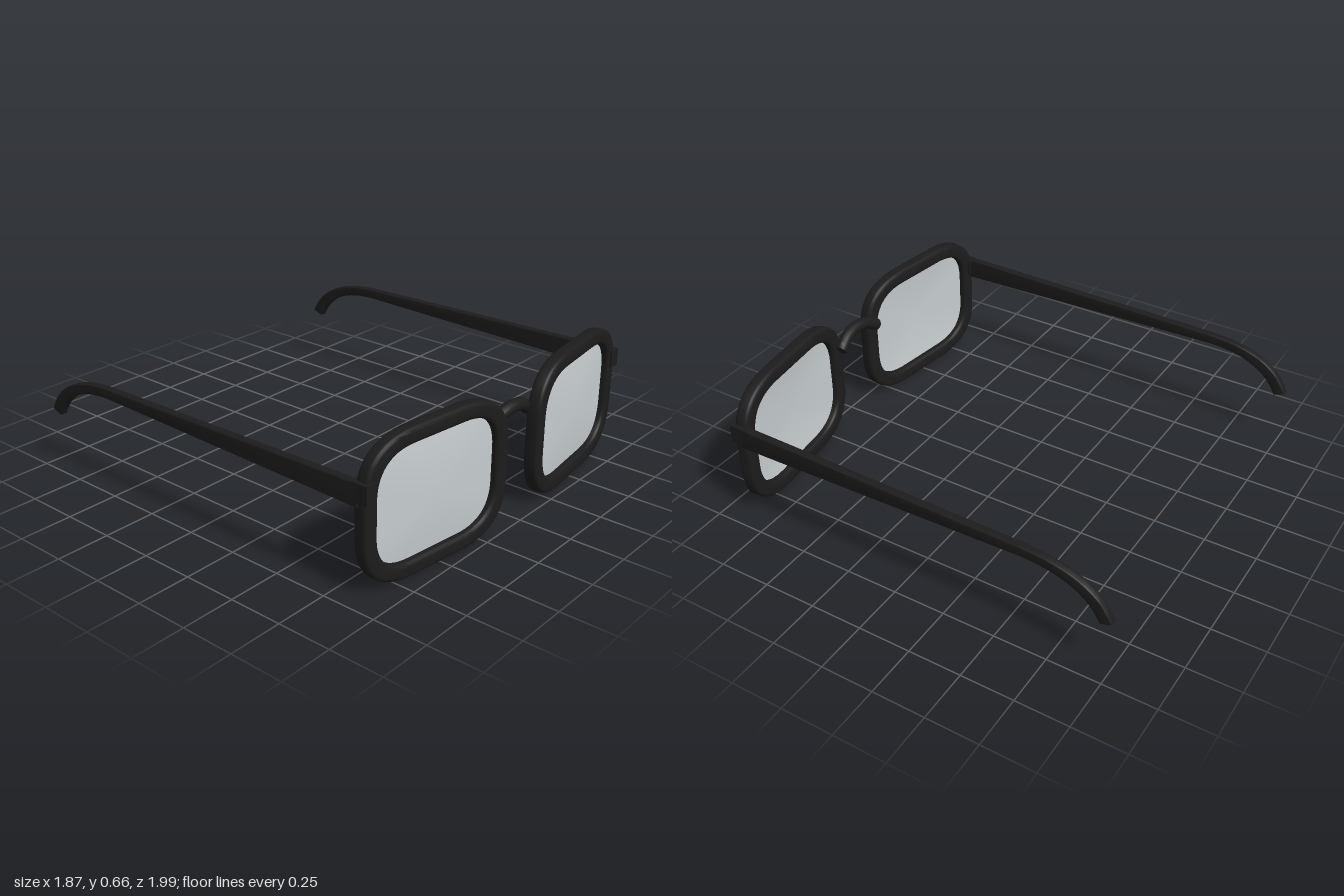
import * as THREE from 'three';
import { toCreasedNormals } from 'three/addons/utils/BufferGeometryUtils.js';

const black = new THREE.MeshStandardMaterial({ color: 0x1c1c1c });
const glass = new THREE.MeshStandardMaterial({ color: 0xc6cccf, side: THREE.DoubleSide });

function part(name, geometry, material = black) {
  const mesh = new THREE.Mesh(geometry, material);
  mesh.name = name;
  return mesh;
}

// Soft rectangle with half sizes w, h and corner reach rx, ry
function softRect(w, h, rx, ry, Type = THREE.Shape) {
  const s = new Type();
  s.moveTo(w, h - ry);
  s.quadraticCurveTo(w, h, w - rx, h);
  s.lineTo(-w + rx, h);
  s.quadraticCurveTo(-w, h, -w, h - ry);
  s.lineTo(-w, -h + ry);
  s.quadraticCurveTo(-w, -h, -w + rx, -h);
  s.lineTo(w - rx, -h);
  s.quadraticCurveTo(w, -h, w, -h + ry);
  s.closePath();
  return s;
}

// Extrusion centred on its depth, with rounded edges
function slab(shape, depth, bevel, curveSegments = 14) {
  const g = new THREE.ExtrudeGeometry(shape, {
    depth: depth - 2 * bevel, curveSegments,
    bevelThickness: bevel, bevelSize: bevel, bevelOffset: -bevel, bevelSegments: 3,
  });
  g.translate(0, 0, -depth / 2 + bevel);
  return toCreasedNormals(g, 0.6);
}

// Shallow dome lens: shrinking copies of the opening's outline
function lensGeometry(w, h, rx, ry, bulge) {
  const outline = softRect(w, h, rx, ry).getPoints(12);
  const n = outline.length, rings = 8, pos = [], index = [];
  for (let r = 0; r <= rings; r++) {
    const k = 1 - r / rings;
    for (const p of outline) pos.push(p.x * k, p.y * k, bulge * (1 - k * k));
  }
  for (let r = 0; r < rings; r++) {
    for (let i = 0; i < n; i++) {
      const j = (i + 1) % n, a = r * n + i, b = r * n + j;
      index.push(a, b, b + n);
      if (r < rings - 1) index.push(a, b + n, a + n);
      else index.push(a, b + n, a + n);
    }
  }
  const g = new THREE.BufferGeometry();
  g.setAttribute('position', new THREE.Float32BufferAttribute(pos, 3));
  g.setIndex(index);
  g.computeVertexNormals();
  // The innermost ring is a single point, so it faces straight ahead
  for (let i = rings * n; i < (rings + 1) * n; i++) g.attributes.normal.setXYZ(i, 0, 0, 1);
  return g;
}

export function createModel() {
  const model = new THREE.Group();
  model.name = 'glasses';

  // Rim
  const rimShape = softRect(0.41, 0.328, 0.28, 0.24);
  rimShape.holes.push(softRect(0.338, 0.257, 0.2, 0.18, THREE.Path));
  const rimGeometry = slab(rimShape, 0.066, 0.016);
  const lens = lensGeometry(0.345, 0.264, 0.2, 0.18, 0.015);

  // Temple side profile, drawn in z and y
  const profile = new THREE.Shape();
  profile.moveTo(0.86, 0.5);
  profile.lineTo(-0.58, 0.477);
  profile.bezierCurveTo(-0.8, 0.468, -0.94, 0.41, -1, 0.265);
  profile.lineTo(-0.945, 0.247);
  profile.bezierCurveTo(-0.89, 0.37, -0.76, 0.428, -0.58, 0.429);
  profile.lineTo(0.86, 0.397);
  profile.closePath();
  const templeGeometry = slab(profile, 0.038, 0.005);
  templeGeometry.rotateY(-Math.PI / 2);

  for (const side of [1, -1]) {
    const label = side > 0 ? 'left' : 'right';
    const eye = new THREE.Group();
    eye.name = label + 'Eyepiece';
    eye.add(part(label + 'Rim', rimGeometry), part(label + 'Lens', lens, glass));
    eye.position.set(side * 0.516, 0.33, 0.912);
    eye.rotation.y = side * 0.122;

    const temple = part(label + 'Temple', templeGeometry);
    temple.position.x = side * 0.914;

    const hinge = part(label + 'Hinge', new THREE.BoxGeometry(0.056, 0.084, 0.085));
    hinge.position.set(side * 0.905, 0.459, 0.866);

    model.add(eye, temple, hinge);
  }

  // Arched bridge
  const arch = new THREE.CatmullRomCurve3([
    new THREE.Vector3(-0.145, 0.462, 0.908),
    new THREE.Vector3(-0.075, 0.503, 0.918),
    new THREE.Vector3(0, 0.516, 0.922),
    new THREE.Vector3(0.075, 0.503, 0.918),
    new THREE.Vector3(0.145, 0.462, 0.908),
  ]);
  const section = new THREE.Shape().absarc(0, 0, 0.03, 0, Math.PI * 2);
  const bridge = new THREE.ExtrudeGeometry(section, {
    extrudePath: arch, steps: 24, curveSegments: 8, bevelEnabled: false,
  });
  model.add(part('bridge', toCreasedNormals(bridge, 0.9)));

  return model;
}
